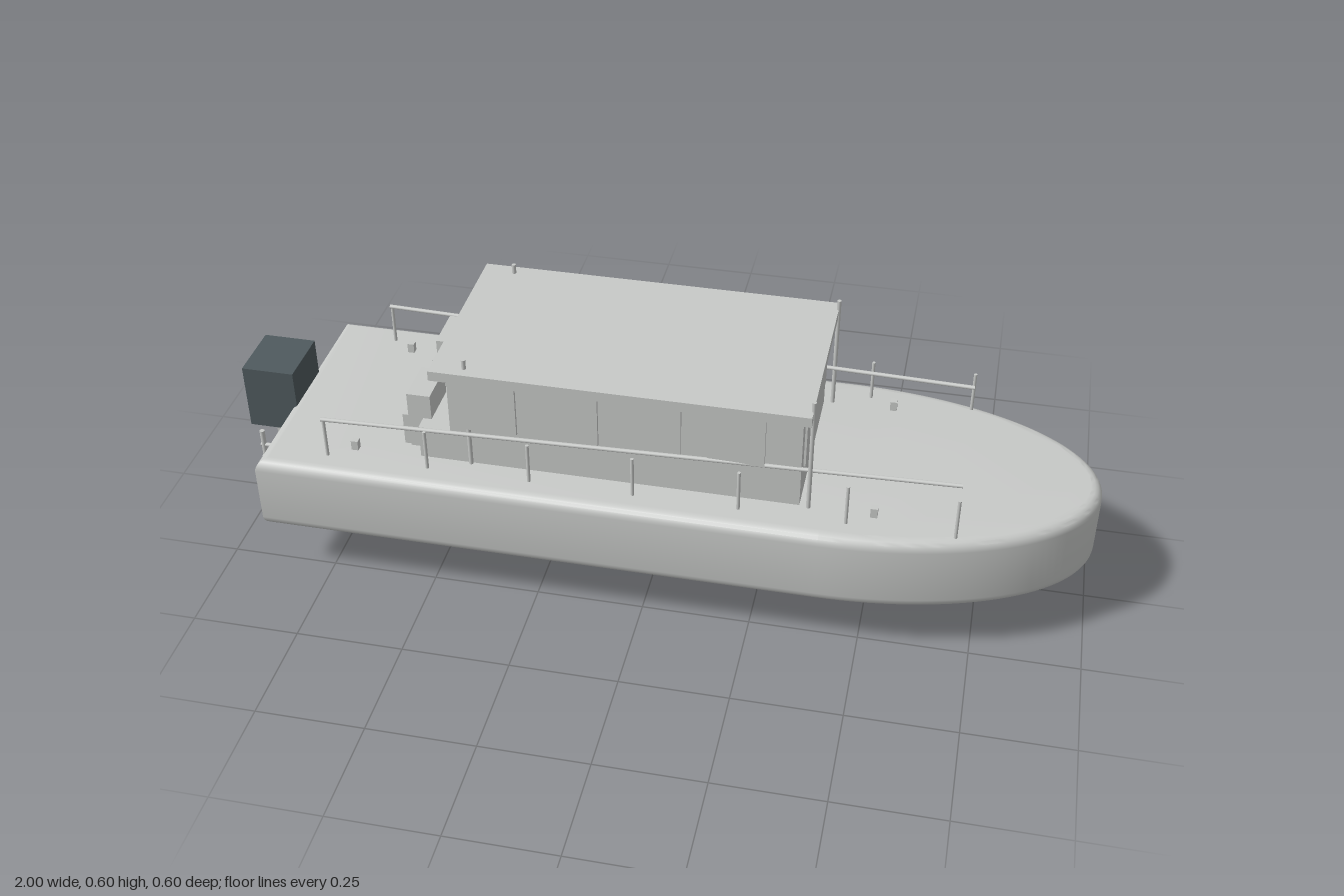
import * as THREE from 'three';
import { toCreasedNormals } from 'three/addons/utils/BufferGeometryUtils.js';

export function createModel() {
  const boat = new THREE.Group();
  boat.name = 'riverBoat';
  const paleGrey = new THREE.MeshStandardMaterial({ name: 'paleGrey', color: 0xc8cac8 });
  const slate = new THREE.MeshStandardMaterial({ name: 'slate', color: 0x4f5a5e });

  function add(name, geometry, material = paleGrey) {
    const mesh = new THREE.Mesh(geometry, material);
    mesh.name = name;
    boat.add(mesh);
    return mesh;
  }
  // Box given by its lower and upper limits on each axis
  function box(name, x0, x1, y0, y1, z0, z1, material) {
    const mesh = add(name, new THREE.BoxGeometry(x1 - x0, y1 - y0, z1 - z0), material);
    mesh.position.set((x0 + x1) / 2, (y0 + y1) / 2, (z0 + z1) / 2);
    return mesh;
  }
  // Round bar between two points
  function rod(name, from, to, radius) {
    const a = new THREE.Vector3(...from), b = new THREE.Vector3(...to);
    const dir = b.clone().sub(a);
    const mesh = add(name, new THREE.CylinderGeometry(radius, radius, dir.length(), 10));
    mesh.position.copy(a).add(b).multiplyScalar(0.5);
    mesh.quaternion.setFromUnitVectors(new THREE.Vector3(0, 1, 0), dir.normalize());
    return mesh;
  }

  // Hull: straight sides running into an elliptical bow, with rounded edges
  const plan = new THREE.Shape();
  plan.moveTo(-0.89, -0.302);
  plan.lineTo(0.4, -0.302);
  plan.absellipse(0.4, 0, 0.6, 0.302, -Math.PI / 2, Math.PI / 2, false);
  plan.lineTo(-0.89, 0.302);
  plan.closePath();
  const round = 0.026;
  const hull = new THREE.ExtrudeGeometry(plan, {
    depth: 0.186 - 2 * round, bevelSize: round, bevelThickness: round,
    bevelOffset: -round, bevelSegments: 5, curveSegments: 32,
  });
  hull.rotateX(-Math.PI / 2);
  hull.translate(0, 0.136 + round, 0);
  add('hull', toCreasedNormals(hull, 0.6));

  // Cabin, windows and roof
  box('cabin', -0.45, 0.345, 0.31, 0.55, -0.2, 0.2);
  box('roofSpacer', -0.44, 0.335, 0.55, 0.56, -0.188, 0.188);
  box('roof', -0.48, 0.365, 0.558, 0.582, -0.23, 0.23);
  box('frontWindow', 0.345, 0.35, 0.403, 0.55, -0.165, 0.165);
  for (const side of [-1, 1]) {
    for (let i = 0; i < 4; i++) {
      const pane = box('sideWindow', -0.42, -0.293, 0.42, 0.542, -0.004, 0.004);
      pane.position.x += i * 0.186;
      pane.position.z = side * 0.204;
    }
  }

  // Fittings mirrored on both sides of the deck
  for (const side of [-1, 1]) {
    for (const x of [-0.405, 0.365]) {
      rod('roofPost', [x, 0.31, side * 0.203], [x, 0.605, side * 0.203], 0.005);
    }
    for (let i = 0; i < 7; i++) {
      const x = -0.735 + i * 0.2375;
      rod('railPost', [x, 0.315, side * 0.24], [x, 0.422, side * 0.24], 0.004);
    }
    rod('handRail', [-0.74, 0.421, side * 0.24], [0.692, 0.421, side * 0.186], 0.005);
    for (const x of [-0.68, 0.51]) {
      box('cleat', x - 0.008, x + 0.008, 0.315, 0.346, side * 0.203 - 0.008, side * 0.203 + 0.008);
    }
    // Seats behind the cabin
    const z = side * 0.11;
    box('seatBack', -0.56, -0.505, 0.32, 0.465, z - 0.055, z + 0.055);
    box('seatBase', -0.576, -0.5, 0.315, 0.403, z - 0.05, z + 0.05);
  }
  box('bench', -0.525, -0.45, 0.315, 0.403, -0.2, 0.2);

  // Outboard motor
  box('motorHousing', -1, -0.875, 0.248, 0.41, -0.073, 0.073, slate);
  box('motorLeg', -0.962, -0.92, 0.028, 0.25, -0.018, 0.018);
  box('motorBracket', -0.93, -0.885, 0.225, 0.25, -0.03, 0.03);
  for (let i = 0; i < 3; i++) {
    const blade = box('propellerBlade', -0.963, -0.951, 0.044, 0.062, -0.055, 0.055);
    blade.rotation.x = i * Math.PI / 3;
  }

  // Boarding steps on the stern
  for (const y of [0.18, 0.215, 0.25]) {
    rod('sternStep', [-0.945, y, 0.145], [-0.885, y, 0.145], 0.005);
  }
  rod('stepUpright', [-0.938, 0.17, 0.145], [-0.938, 0.29, 0.145], 0.006);

  return boat;
}
